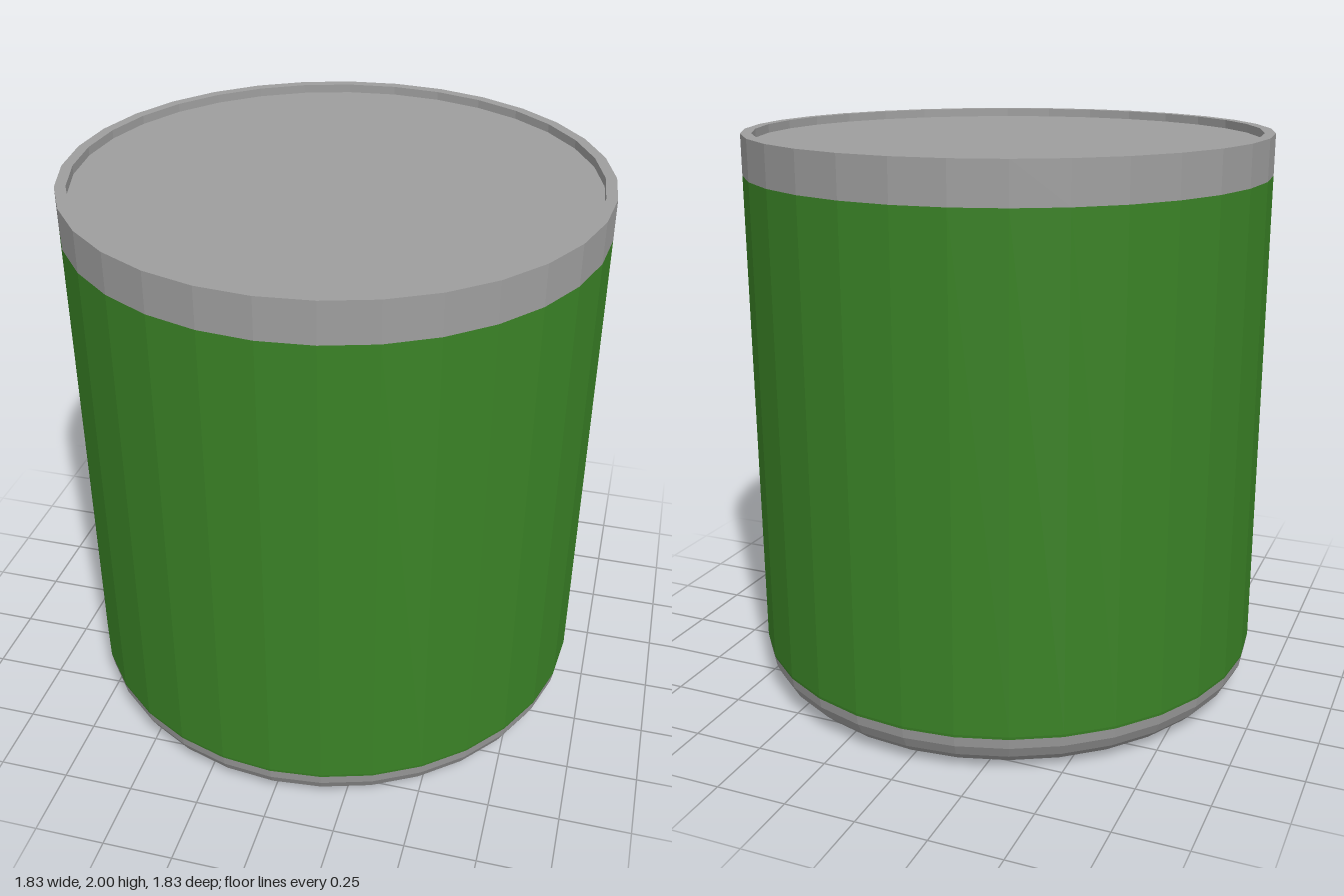
import * as THREE from 'three';

const SIDES = 32;
const R = 0.917;      // outer radius
const BEVEL = 0.15;   // rounded bottom edge
const BAND_LOW = 0.14, BAND_HIGH = 1.86;

// Faceted solid of revolution; profile runs from the bottom up the outside
function turned(name, profile, material) {
  const points = profile.map(([r, y]) => new THREE.Vector2(r, y));
  const geometry = new THREE.LatheGeometry(points, SIDES).toNonIndexed();
  geometry.computeVertexNormals();
  const mesh = new THREE.Mesh(geometry, material);
  mesh.name = name;
  return mesh;
}

export function createModel() {
  const metal = new THREE.MeshStandardMaterial({ color: 0x9e9e9e });
  metal.name = 'grey metal';
  const paint = new THREE.MeshStandardMaterial({ color: 0x3a8226 });
  paint.name = 'green paint';

  // Rounded bottom edge in five steps, ending where the green band starts
  const bottom = [[0, 0]];
  for (let i = 0; i < 5; i++) {
    const a = (i / 5) * Math.PI / 2;
    bottom.push([R - BEVEL + BEVEL * Math.sin(a), BEVEL * (1 - Math.cos(a))]);
  }
  const [r4, y4] = bottom[5];
  const t = (BAND_LOW - y4) / (BEVEL - y4);
  const seam = [r4 + (R - r4) * t, BAND_LOW];

  const model = new THREE.Group();
  model.name = 'can';
  model.add(
    turned('base', [...bottom, seam], metal),
    turned('body', [seam, [R, BEVEL], [R, BAND_HIGH]], paint),
    // Rim with a shallow recessed lid
    turned('rim', [[R, BAND_HIGH], [R, 2], [0.88, 2], [0.88, 1.97]], metal),
    turned('lid', [[0.88, 1.97], [0, 1.97]], metal),
  );
  return model;
}
